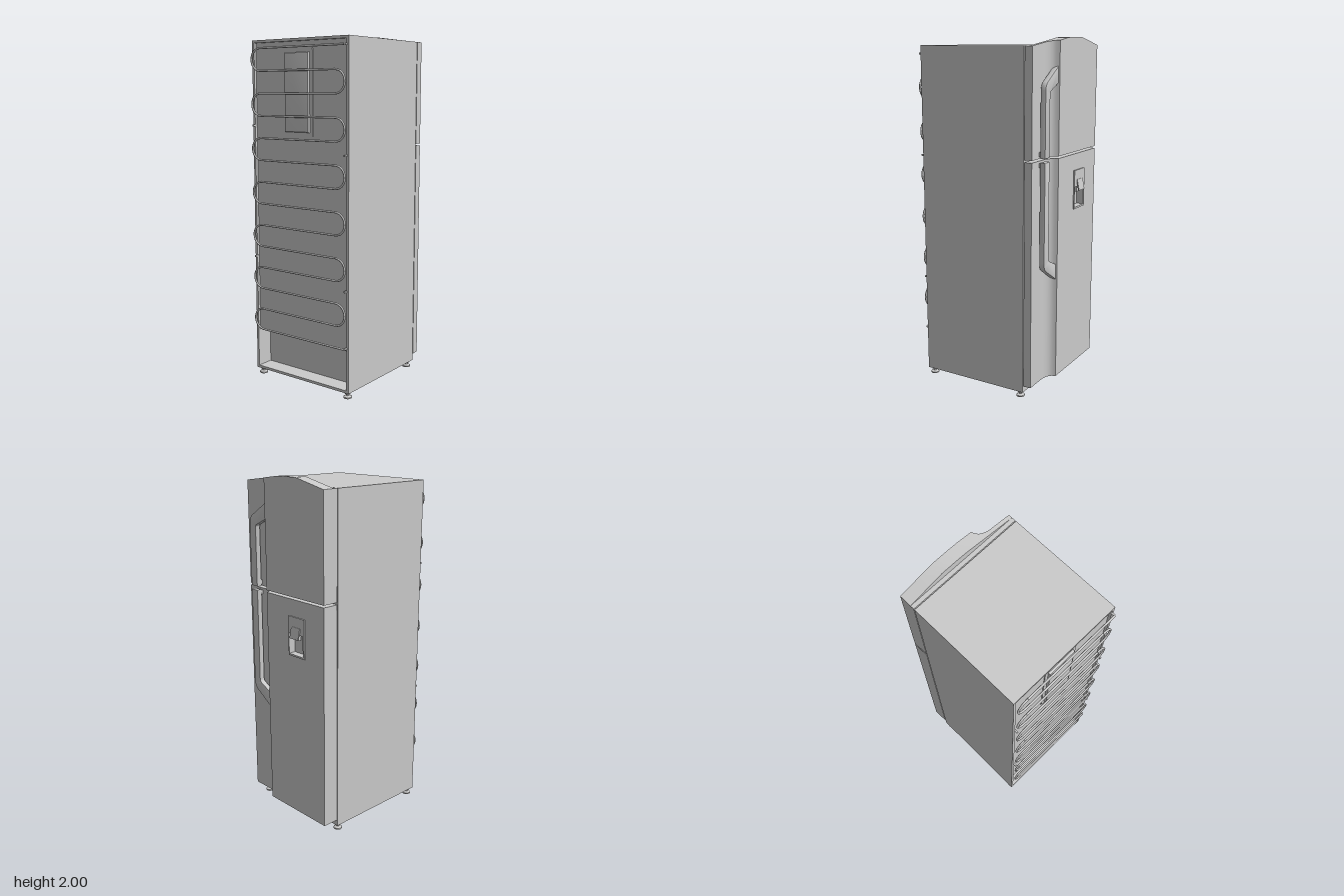
import * as THREE from 'three';
import { toCreasedNormals } from 'three/addons/utils/BufferGeometryUtils.js';

const grey = new THREE.MeshStandardMaterial({ color: 0xcccccc });

export function createModel() {
  const root = new THREE.Group();
  root.name = 'refrigerator';

  const add = (name, geometry) => {
    const mesh = new THREE.Mesh(geometry, grey);
    mesh.name = name;
    root.add(mesh);
    return mesh;
  };
  // Box given by its limits on each axis
  const box = (name, x0, x1, y0, y1, z0, z1) => {
    const mesh = add(name, new THREE.BoxGeometry(x1 - x0, y1 - y0, z1 - z0));
    mesh.position.set((x0 + x1) / 2, (y0 + y1) / 2, (z0 + z1) / 2);
    return mesh;
  };
  // Rectangle path in the side plane (shape x is -z)
  const rect = (path, z0, z1, y0, y1) => {
    path.moveTo(-z1, y0).lineTo(-z0, y0).lineTo(-z0, y1).lineTo(-z1, y1).closePath();
    return path;
  };
  // Extrude a side-plane shape along x
  const extrudeX = (name, shape, x0, x1, bevel = 0) => {
    const g = new THREE.ExtrudeGeometry(shape, {
      depth: x1 - x0 - 2 * bevel, curveSegments: 8, bevelEnabled: bevel > 0,
      bevelThickness: bevel, bevelSize: bevel, bevelOffset: -bevel, bevelSegments: 2,
    });
    g.rotateY(Math.PI / 2).translate(x0 + bevel, 0, 0);
    return add(name, toCreasedNormals(g, 0.6));
  };
  const framed = (outer, hole) => {
    const shape = rect(new THREE.Shape(), ...outer);
    shape.holes.push(rect(new THREE.Path(), ...hole));
    return shape;
  };
  // Solid through rectangular sections [z, xBack, xFront, yBottom, yTop], z rising
  const loft = (name, sections) => {
    const pos = [], index = [];
    sections.forEach(([z, xb, xf, y0, y1], i) => {
      pos.push(xb, y0, z, xf, y0, z, xf, y1, z, xb, y1, z);
      if (i === 0) return;
      const a = 4 * (i - 1), b = 4 * i;
      for (let k = 0; k < 4; k++) {
        const n = (k + 1) % 4;
        index.push(a + k, a + n, b + n, a + k, b + n, b + k);
      }
    });
    const e = 4 * (sections.length - 1);
    index.push(0, 2, 1, 0, 3, 2, e, e + 1, e + 2, e, e + 2, e + 3);
    const g = new THREE.BufferGeometry();
    g.setAttribute('position', new THREE.Float32BufferAttribute(pos, 3));
    g.setIndex(index);
    return add(name, toCreasedNormals(g, 0.6));
  };

  // Cabinet: outer shell, insulated core and slightly sunken back panel
  extrudeX('cabinetShell', framed([-0.34, 0.34, 0.035, 1.955], [-0.325, 0.325, 0.05, 1.94]), -0.38, 0.28);
  box('cabinetCore', -0.28, 0.28, 0.05, 1.94, -0.325, 0.325);
  box('backPanel', -0.365, -0.28, 0.27, 1.94, -0.325, 0.325);
  extrudeX('backCover', rect(new THREE.Shape(), -0.12, 0.09, 1.43, 1.9), -0.37, -0.28)
    .scale.set(1, 1, 1);
  extrudeX('backCoverRaised', rect(new THREE.Shape(), -0.1, 0.07, 1.45, 1.88), -0.385, -0.28, 0.01);

  // Door gaskets
  box('upperGasket', 0.278, 0.287, 1.4, 1.91, -0.265, 0.265);
  box('lowerGasket', 0.278, 0.287, 0.12, 1.32, -0.265, 0.265);

  // Door front in plan: flat, then a scooped grip channel [z, x]
  const scoop = [[0.13, 0.38], [0.138, 0.36], [0.15, 0.347], [0.168, 0.337], [0.195, 0.331], [0.215, 0.33], [0.34, 0.33]];
  const flat = [[-0.34, 0.38], [-0.24, 0.38], [-0.13, 0.38], [-0.05, 0.38], [0.03, 0.38]];
  // Height of the arched top across the door
  const arch = [[-0.34, 1.955], [-0.13, 2.0], [-0.05, 2.0], [0.03, 1.997], [0.13, 1.983], [0.34, 1.955]];
  const archY = (z) => {
    const i = Math.max(1, arch.findIndex((p) => p[0] >= z));
    const [[z0, y0], [z1, y1]] = [arch[i - 1], arch[i]];
    return y0 + (y1 - y0) * (z - z0) / (z1 - z0);
  };
  box('upperDoorBack', 0.285, 0.308, 1.367, 1.955, -0.34, 0.34);
  loft('upperDoor', [...flat, ...scoop].map(([z, x]) => [z, 0.308, x, 1.367, archY(z)]));

  // Lower door with an opening for the water dispenser
  const opening = [-0.178, -0.065, 1.045, 1.165];
  extrudeX('lowerDoor', framed([-0.34, 0.13, 0.075, 1.355], opening), 0.285, 0.38);
  loft('lowerDoorChannel', scoop.map(([z, x]) => [z, 0.285, x, 0.075, 1.355]));
  box('dispenserBack', 0.29, 0.345, 1.045, 1.165, -0.178, -0.065);
  extrudeX('dispenserPlate', framed([-0.19, -0.06, 1.035, 1.26], opening), 0.38, 0.387);
  box('dispenserSpout', 0.36, 0.378, 1.13, 1.165, -0.135, -0.108);
  const lever = box('dispenserLever', 0.391, 0.397, 1.14, 1.205, -0.158, -0.088);
  lever.rotation.z = 0.2;

  // Handles: straight bar sweeping back into the door at its far end
  const handle = (name, yEnd, yFar, s) => {
    const h = new THREE.Shape();
    h.moveTo(-0.275, yEnd).lineTo(-0.275, yFar - s * 0.13);
    h.quadraticCurveTo(-0.275, yFar - s * 0.09, -0.25, yFar - s * 0.075);
    h.lineTo(-0.132, yFar).lineTo(-0.132, yFar - s * 0.09);
    h.lineTo(-0.21, yFar - s * 0.127).quadraticCurveTo(-0.222, yFar - s * 0.132, -0.222, yFar - s * 0.15);
    h.lineTo(-0.222, yEnd).closePath();
    extrudeX(name, h, 0.342, 0.375, 0.006);
    const y = yEnd + s * 0.02;
    box(name + 'Post', 0.328, 0.35, y - 0.012, y + 0.012, 0.23, 0.26);
  };
  handle('upperHandle', 1.37, 1.85, 1);
  handle('lowerHandle', 1.35, 0.665, -1);

  // Condenser coil: level runs joined by half-round bends, with ends into the back
  const coil = new THREE.CurvePath();
  const rows = 14, top = 1.91, pitch = 1.62 / (rows - 1), r = pitch / 2, cx = -0.399;
  const P = (x, y, z) => new THREE.Vector3(x, y, z);
  const line = (a, b) => coil.add(new THREE.LineCurve3(a, b));
  line(P(-0.36, top, 0.325), P(cx, top, 0.325));
  for (let i = 0; i < rows; i++) {
    const y = top - i * pitch, dir = i % 2 ? 1 : -1, reach = 0.328 - r;
    const zIn = i === 0 ? 0.325 : -dir * reach;
    const zOut = i === rows - 1 ? 0.325 : dir * reach;
    line(P(cx, y, zIn), P(cx, y, zOut));
    if (i === rows - 1) break;
    const bend = [];
    for (let k = 0; k <= 8; k++) {
      const a = Math.PI * k / 8;
      bend.push(P(cx, y - r + r * Math.cos(a), zOut + dir * r * Math.sin(a)));
    }
    coil.add(new THREE.CatmullRomCurve3(bend));
  }
  line(P(cx, top - 1.62, 0.325), P(-0.36, top - 1.62, 0.325));
  coil.curves.forEach((c) => {
    add('condenserCoil', new THREE.TubeGeometry(c, c.isLineCurve3 ? 1 : 12, 0.006, 8));
  });
  // Short brackets holding the bends
  for (const [y, z] of [[1.48, -0.325], [1.34, 0.325], [0.72, -0.325], [0.61, 0.325]]) {
    box('coilBracket', cx, -0.37, y - 0.005, y + 0.005, z - 0.005, z + 0.005);
  }

  // Levelling feet
  const foot = [[0, 0], [0.024, 0], [0.024, 0.008], [0.017, 0.012], [0.009, 0.014], [0.009, 0.024], [0.017, 0.025], [0.017, 0.036], [0, 0.036]]
    .map(([x, y]) => new THREE.Vector2(x, y));
  for (const x of [-0.352, 0.252]) {
    for (const z of [-0.314, 0.314]) {
      add('foot', toCreasedNormals(new THREE.LatheGeometry(foot, 16), 0.6)).position.set(x, 0, z);
    }
  }
  return root;
}
